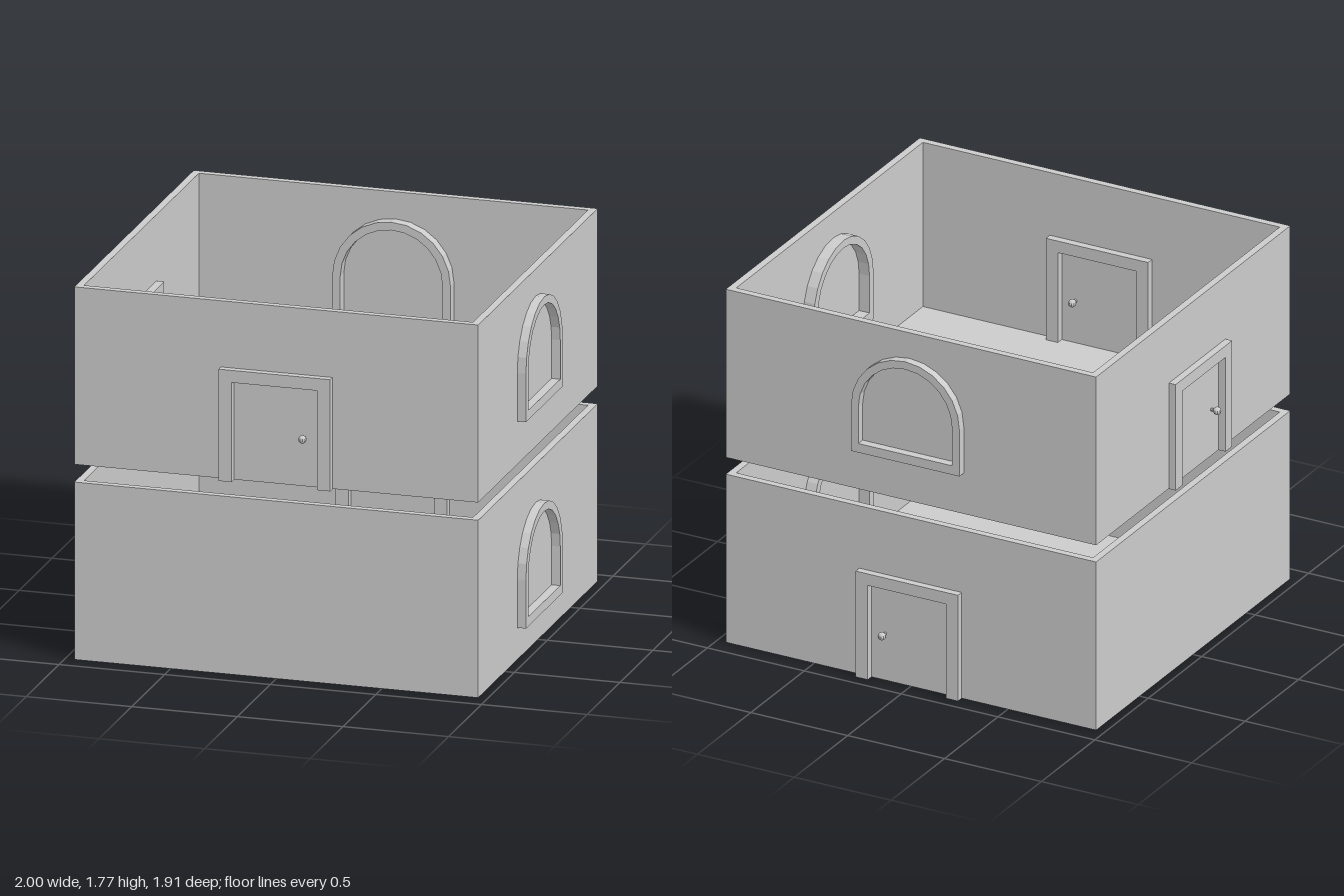
import * as THREE from 'three';

const material = new THREE.MeshStandardMaterial({ color: 0xcccccc, flatShading: true });
const HALF_X = 0.956, HALF_Z = 0.908, HEIGHT = 0.842, WALL = 0.035, FLOOR = 0.02;

function add(parent, name, geometry, x = 0, y = 0, z = 0) {
  const mesh = new THREE.Mesh(geometry, material);
  mesh.name = name;
  mesh.position.set(x, y, z);
  parent.add(mesh);
  return mesh;
}

function rectangle(Type, hx, hy) {
  return new Type([[-hx, -hy], [hx, -hy], [hx, hy], [-hx, hy]].map(p => new THREE.Vector2(...p)));
}

// Straight-sided outline with a semicircular head
function arch(Type, radius, bottom, spring) {
  const path = new Type();
  path.moveTo(-radius, bottom);
  path.lineTo(radius, bottom);
  path.lineTo(radius, spring);
  path.absarc(0, spring, radius, 0, Math.PI, false);
  path.closePath();
  return path;
}

function extrude(shape, depth) {
  return new THREE.ExtrudeGeometry(shape, { depth, bevelEnabled: false, curveSegments: 6 });
}

// Frames are built with the outer wall surface at local z = 0, outside towards +z
function windowFrame(name) {
  const group = new THREE.Group();
  group.name = name;
  const shape = arch(THREE.Shape, 0.28, 0, 0.23);
  shape.holes.push(arch(THREE.Path, 0.242, 0.045, 0.23));
  add(group, 'archedFrame', extrude(shape, 0.13), 0, 0, -0.089);
  return group;
}

function doorFrame(name, knobX) {
  const group = new THREE.Group();
  group.name = name;
  const points = [[-0.264, 0], [-0.202, 0], [-0.202, 0.472], [0.202, 0.472],
    [0.202, 0], [0.264, 0], [0.264, 0.53], [-0.264, 0.53]];
  const shape = new THREE.Shape(points.map(p => new THREE.Vector2(...p)));
  add(group, 'doorSurround', extrude(shape, 0.107), 0, 0, -0.072);
  // Knobs on both faces joined by a spindle through the wall
  for (const z of [0.031, -0.066]) {
    add(group, 'doorKnob', new THREE.SphereGeometry(0.019, 10, 8), knobX, 0.233, z);
  }
  const spindle = add(group, 'knobSpindle', new THREE.CylinderGeometry(0.008, 0.008, 0.097, 8), knobX, 0.233, -0.0175);
  spindle.rotation.x = Math.PI / 2;
  return group;
}

// Open-topped room: floor slab and a ring of walls
function storey(name, y) {
  const group = new THREE.Group();
  group.name = name;
  group.position.y = y;
  const ring = rectangle(THREE.Shape, HALF_X, HALF_Z);
  ring.holes.push(rectangle(THREE.Path, HALF_X - WALL, HALF_Z - WALL));
  add(group, 'walls', extrude(ring, HEIGHT).rotateX(-Math.PI / 2));
  add(group, 'floor', new THREE.BoxGeometry(2 * (HALF_X - WALL), FLOOR, 2 * (HALF_Z - WALL)), 0, FLOOR / 2, 0);
  return group;
}

function place(parent, part, x, y, z, turn) {
  part.position.set(x, y, z);
  part.rotation.y = turn;
  parent.add(part);
}

export function createModel() {
  const model = new THREE.Group();
  model.name = 'twoStoreyHouse';
  const lower = storey('lowerStorey', 0);
  const upper = storey('upperStorey', 0.926);
  model.add(lower, upper);

  // Lower storey openings
  place(lower, windowFrame('lowerLeftWindow'), HALF_X, 0.151, 0.034, Math.PI / 2);
  place(lower, doorFrame('backDoor', -0.131), 0.002, 0, -HALF_Z, Math.PI);

  // Upper storey openings
  place(upper, windowFrame('upperLeftWindow'), HALF_X, 0.204, 0.034, Math.PI / 2);
  place(upper, windowFrame('upperBackWindow'), 0.007, 0.204, -HALF_Z, Math.PI);
  place(upper, doorFrame('frontDoor', 0.131), 0.002, -0.002, HALF_Z, 0);
  place(upper, doorFrame('sideDoor', 0.131), -HALF_X, -0.002, 0.037, -Math.PI / 2);
  return model;
}
